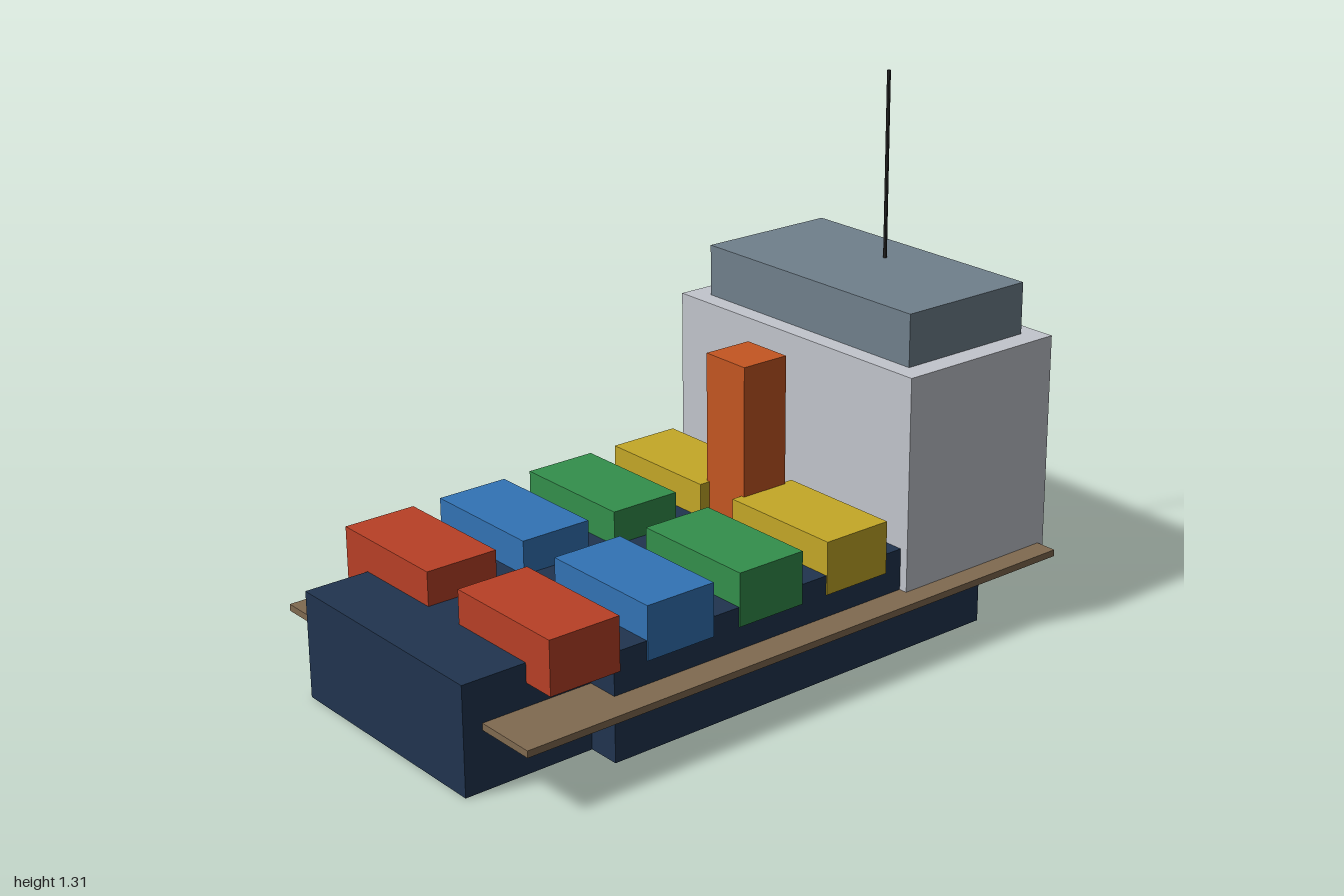
import * as THREE from 'three';

const paint = (color) => new THREE.MeshStandardMaterial({ color, flatShading: true });

export function createModel() {
  const model = new THREE.Group();
  const hull = paint(0x20344f);

  // Box given by its extents along x, y and z
  function block(name, material, [x0, x1], [y0, y1], [z0, z1], parent = model) {
    const mesh = new THREE.Mesh(new THREE.BoxGeometry(x1 - x0, y1 - y0, z1 - z0), material);
    mesh.position.set((x0 + x1) / 2, (y0 + y1) / 2, (z0 + z1) / 2);
    mesh.name = name;
    parent.add(mesh);
    return mesh;
  }

  // Stepped hull, stern to bow
  block('sternHull', hull, [-1, -0.66], [0, 0.268], [-0.31, 0.31]);
  block('mainHull', hull, [-0.66, 0.467], [0, 0.268], [-0.394, 0.394]);
  block('bowHull', hull, [0.467, 0.857], [0, 0.226], [-0.226, 0.226]);
  block('bowTip', hull, [0.857, 1], [0, 0.174], [-0.071, 0.071]);

  // Thin walkway slab projecting on both sides
  block('walkway', paint(0x806a50), [-0.95, 0.65], [0.146, 0.163], [-0.472, 0.472]);

  // Two rows of cargo containers sunk into the deck
  const cargo = new THREE.Group();
  cargo.name = 'cargo';
  model.add(cargo);
  [0xb84026, 0x3273b5, 0x338f4c, 0xc4a827].forEach((color, i) => {
    const x = -0.833 + i * 0.2645;
    const material = paint(color);
    block('containerLeftRow', material, [x, x + 0.188], [0.22, 0.353], [0.06, 0.397], cargo);
    block('containerRightRow', material, [x, x + 0.188], [0.22, 0.353], [-0.397, -0.06], cargo);
  });

  // Funnel, deckhouse and bridge
  block('funnel', paint(0xc45622), [-0.011, 0.12], [0.25, 0.682], [-0.069, 0.069]);
  block('deckhouse', paint(0xc2c5cd), [0.198, 0.668], [0.138, 0.702], [-0.416, 0.416]);
  block('bridge', paint(0x70808c), [0.245, 0.621], [0.702, 0.833], [-0.359, 0.359]);

  // Mast
  const mast = new THREE.Mesh(new THREE.CylinderGeometry(0.0047, 0.0047, 0.475, 8), paint(0x2a2a2a));
  mast.position.set(0.506, 1.068, 0);
  mast.name = 'mast';
  model.add(mast);

  return model;
}
